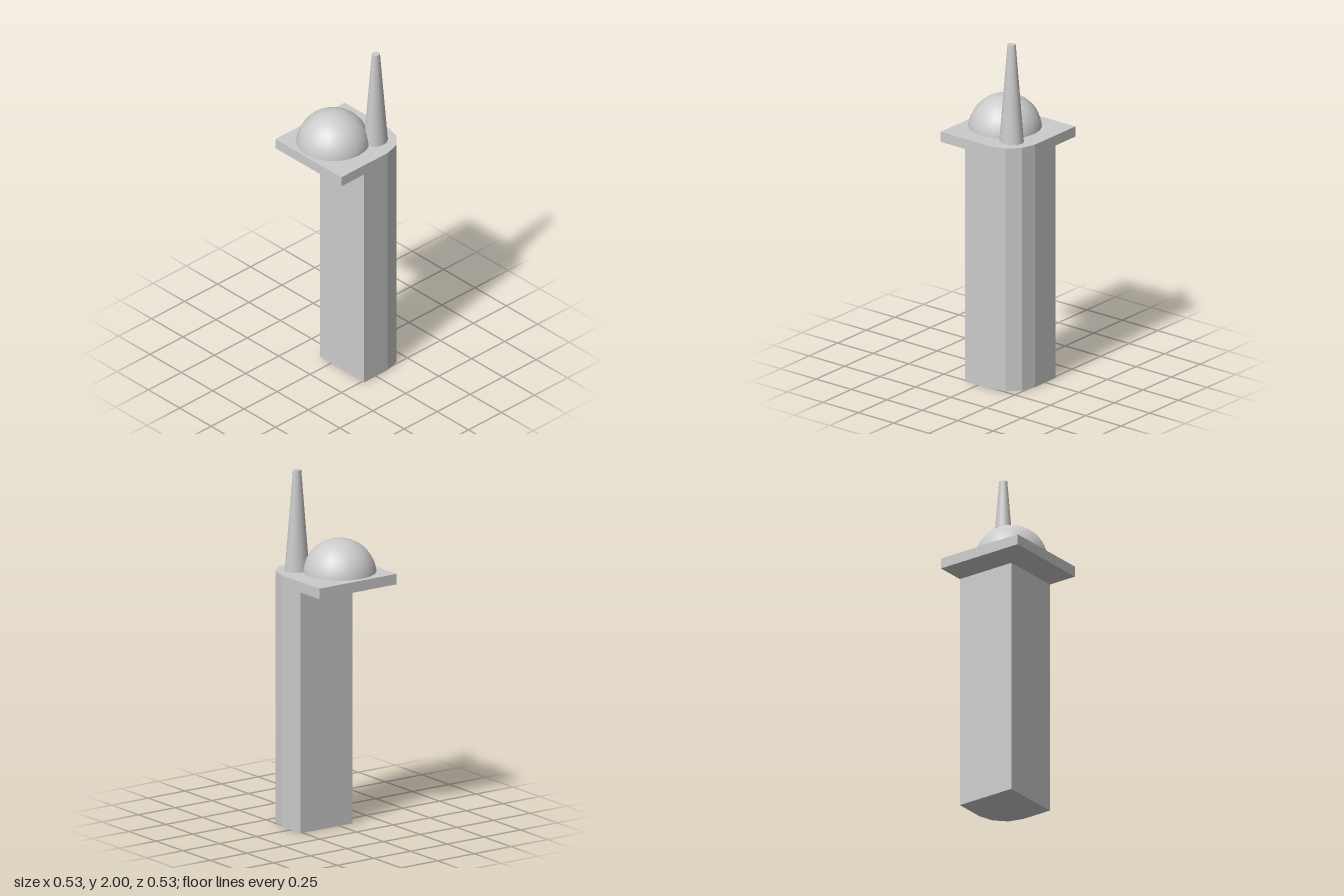
import * as THREE from 'three';

const grey = () => new THREE.MeshStandardMaterial({ color: 0xcccccc });
const OUTER = 0.263, RADIUS = 0.175, PLATE_BOTTOM = 1.37, PLATE_TOP = 1.43;

// Square block with its front left corner rounded in three facets
function cornerBlock(name, inner, bottom, top) {
  const shape = new THREE.Shape();
  shape.moveTo(inner, inner);
  shape.lineTo(OUTER, inner);
  const c = OUTER - RADIUS;
  for (let i = 0; i <= 3; i++) {
    const a = (i / 3) * Math.PI / 2;
    shape.lineTo(c + RADIUS * Math.cos(a), c + RADIUS * Math.sin(a));
  }
  shape.lineTo(inner, OUTER);
  shape.closePath();
  const geometry = new THREE.ExtrudeGeometry(shape, { depth: top - bottom, bevelEnabled: false });
  geometry.rotateX(Math.PI / 2).translate(0, top, 0);
  const mesh = new THREE.Mesh(geometry, grey());
  mesh.name = name;
  return mesh;
}

export function createModel() {
  const model = new THREE.Group();
  model.name = 'domedTower';

  // Shaft and the overhanging slab on top of it
  model.add(cornerBlock('shaft', -0.09, 0, PLATE_BOTTOM));
  model.add(cornerBlock('roofSlab', -OUTER, PLATE_BOTTOM, PLATE_TOP));

  // Dome, cut off inside the slab
  const dome = new THREE.Mesh(
    new THREE.SphereGeometry(0.205, 20, 12, 0, Math.PI * 2, 0, Math.PI / 2), grey());
  dome.position.set(-0.045, 1.409, -0.031);
  dome.name = 'dome';
  model.add(dome);

  // Tapered spire, slightly oval
  const height = 2 - PLATE_TOP;
  const spire = new THREE.Mesh(new THREE.CylinderGeometry(0.024, 0.071, height, 20), grey());
  spire.scale.z = 0.86;
  spire.position.set(0.128, PLATE_TOP + height / 2, 0.127);
  spire.name = 'spire';
  model.add(spire);

  return model;
}
